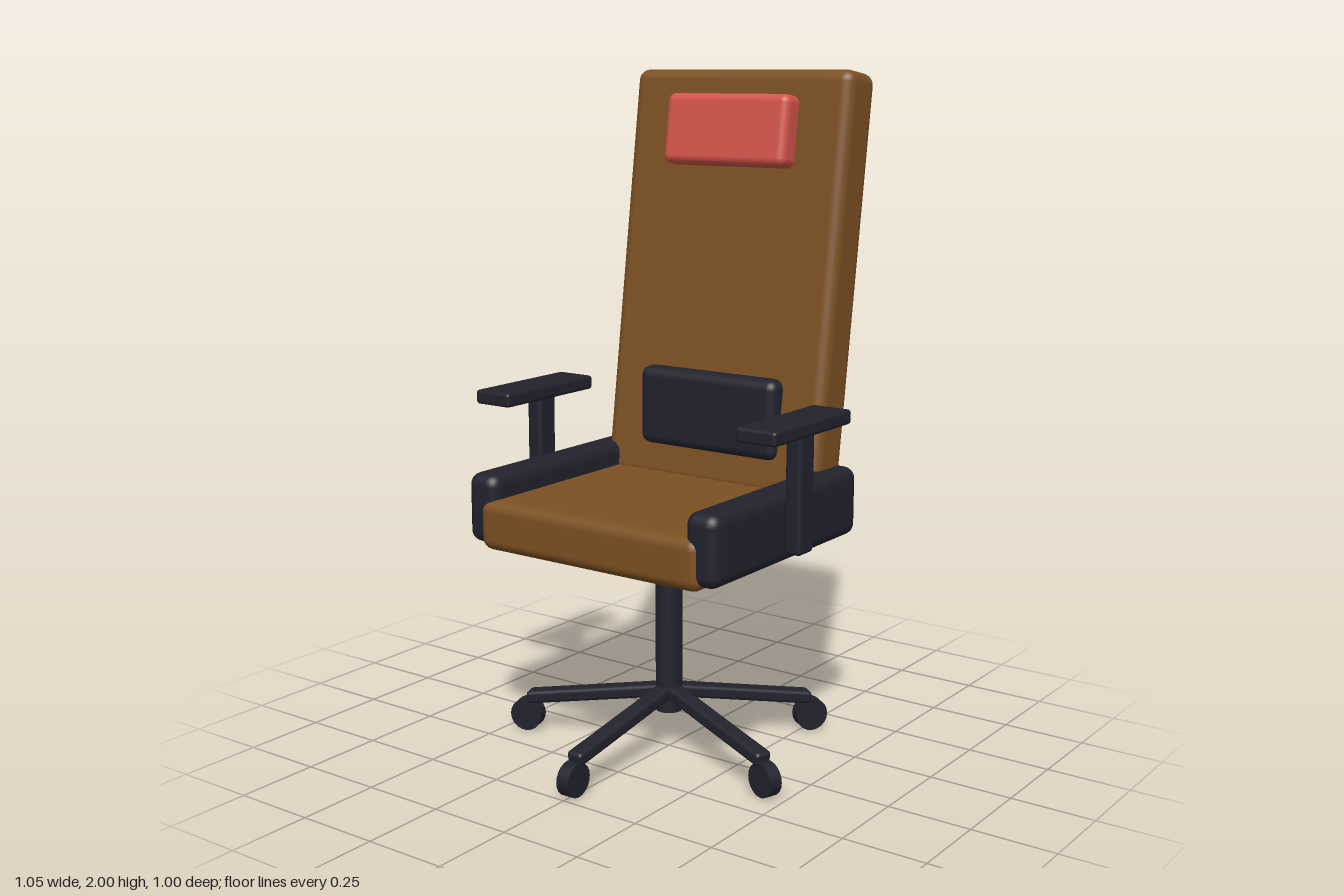
import * as THREE from 'three';
import { RoundedBoxGeometry } from 'three/addons/geometries/RoundedBoxGeometry.js';

function material(name, color) {
  const m = new THREE.MeshStandardMaterial({ color });
  m.name = name;
  return m;
}

export function createModel() {
  const leather = material('brown leather', 0x7c5022);
  const dark = material('dark navy', 0x22222e);
  const red = material('red cushion', 0xd4544a);

  const chair = new THREE.Group();
  chair.name = 'officeChair';

  function add(parent, name, geometry, mat, x, y, z) {
    const mesh = new THREE.Mesh(geometry, mat);
    mesh.name = name;
    mesh.position.set(x, y, z);
    parent.add(mesh);
    return mesh;
  }
  const pad = (w, h, d, r) => new RoundedBoxGeometry(w, h, d, 3, r);

  // Seat and reclined backrest
  const recline = -0.138;
  add(chair, 'seat', pad(0.77, 0.15, 0.76, 0.035), leather, 0, 0.715, 0.025);
  add(chair, 'backrest', pad(0.765, 1.25, 0.148, 0.035), leather, 0, 1.373, -0.342).rotation.x = recline;

  // Cushions
  add(chair, 'headCushion', pad(0.43, 0.21, 0.09, 0.025), red, 0, 1.822, -0.312).rotation.x = recline;
  add(chair, 'lumbarCushion', pad(0.49, 0.24, 0.08, 0.03), dark, 0, 0.992, -0.218);

  // Side bolsters and armrests
  for (const [side, s] of [['left', 1], ['right', -1]]) {
    add(chair, side + 'Bolster', pad(0.107, 0.205, 0.74, 0.035), dark, s * 0.383, 0.757, 0.025);
    add(chair, side + 'ArmPost', pad(0.053, 0.355, 0.074, 0.012), dark, s * 0.462, 0.862, 0.025);
    add(chair, side + 'ArmPad', pad(0.128, 0.042, 0.395, 0.01), dark, s * 0.461, 1.05, 0.053);
  }

  // Column
  add(chair, 'column', new THREE.CylinderGeometry(0.04, 0.04, 0.455, 24), dark, 0, 0.345, 0);

  // Five-spoke base with casters, one spoke pointing forward
  const spokeGeometry = pad(0.053, 0.04, 0.46, 0.012);
  const wheelGeometry = new THREE.CylinderGeometry(0.05, 0.05, 0.04, 20).rotateZ(Math.PI / 2);
  for (let i = 0; i < 5; i++) {
    const spoke = new THREE.Group();
    spoke.name = 'spoke' + (i + 1);
    spoke.rotation.y = (i * Math.PI * 2) / 5;
    add(spoke, 'spokeBar', spokeGeometry, dark, 0, 0.144, 0.226).rotation.x = 0.167;
    add(spoke, 'caster', wheelGeometry, dark, 0, 0.05, 0.457);
    chair.add(spoke);
  }

  return chair;
}
